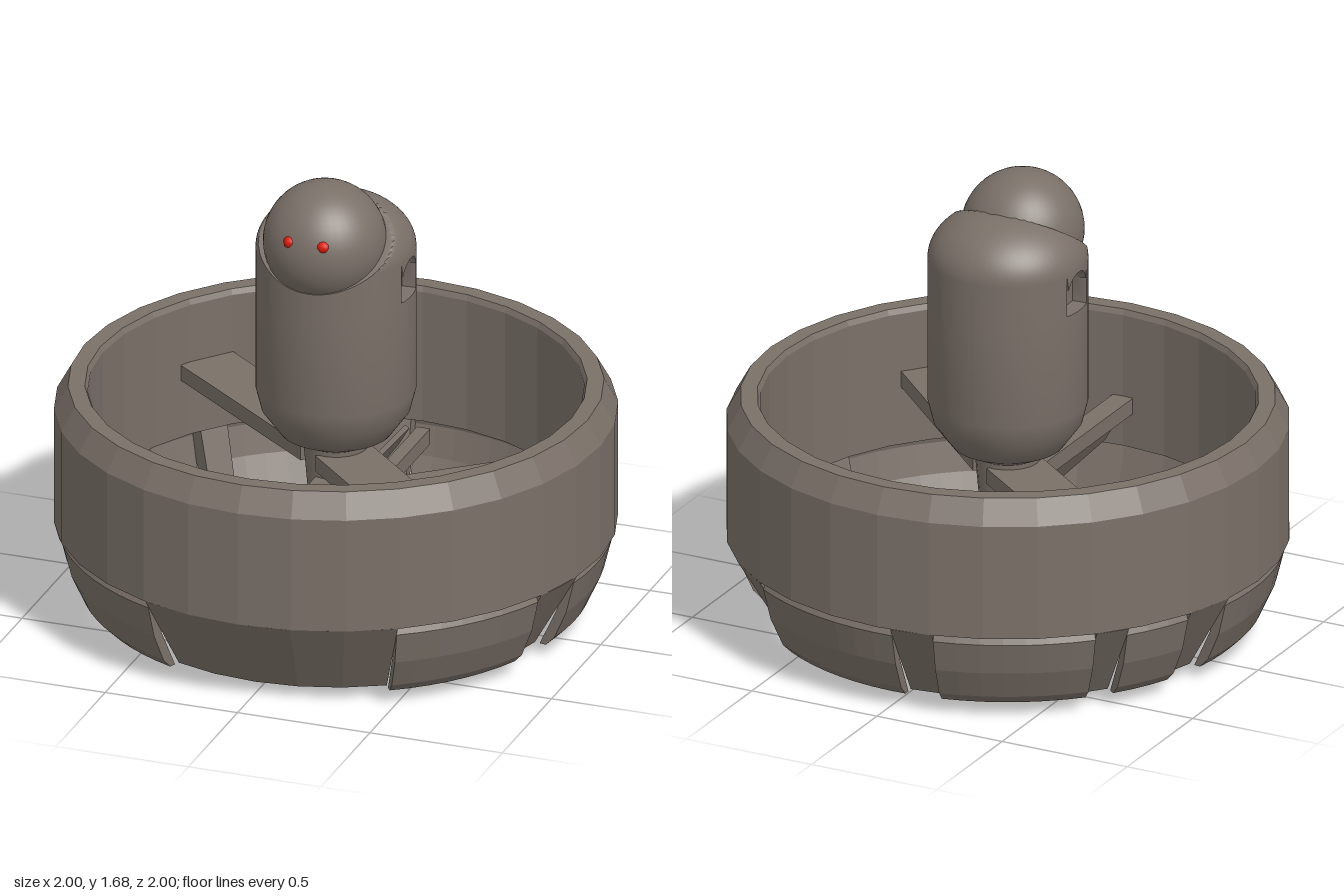
import * as THREE from 'three';
import { toCreasedNormals } from 'three/addons/utils/BufferGeometryUtils.js';

const rad = THREE.MathUtils.degToRad;
const metal = new THREE.MeshStandardMaterial({ color: 0x7a7068, side: THREE.DoubleSide });
const facets = new THREE.MeshStandardMaterial({ color: 0x7a7068, side: THREE.DoubleSide, flatShading: true });
const red = new THREE.MeshStandardMaterial({ color: 0xe01808 });
const points = (list) => list.map(([r, y]) => new THREE.Vector2(r, y));

export function createModel() {
  const model = new THREE.Group();
  const add = (name, geometry, material = metal, parent = model) => {
    const mesh = new THREE.Mesh(geometry, material);
    mesh.name = name;
    parent.add(mesh);
    return mesh;
  };

  // Solid arc swept from a closed profile, angles in degrees from +z towards +x
  const addArc = (name, profile, from, to, segments) => {
    const group = new THREE.Group();
    group.name = name;
    const loop = points([...profile, profile[0]]);
    add('arcBody', new THREE.LatheGeometry(loop, segments, rad(from), rad(to - from)), facets, group);
    for (const a of [from, to]) {
      const cap = new THREE.ShapeGeometry(new THREE.Shape(points(profile)));
      add('arcEnd', cap.rotateY(rad(a) - Math.PI / 2), facets, group);
    }
    model.add(group);
  };

  // Ring duct with bevelled upper rim
  add('ductRing', new THREE.LatheGeometry(points([
    [0.88, 0.35], [1, 0.35], [1, 0.78], [0.95, 0.87], [0.89, 0.87], [0.88, 0.85], [0.88, 0.35],
  ]), 32), facets);

  // Curved flaps around the lower edge, with tapered skirt between them
  const flaps = [[33, 67], [79, 113], [146, 183], [192, 226], [233, 248], [259, 293], [302, 338]];
  const flapProfile = [[0.845, 0.055], [0.87, 0.055], [0.905, 0.09], [0.955, 0.2], [0.985, 0.32],
    [0.97, 0.35], [0.93, 0.35], [0.94, 0.31], [0.915, 0.2]];
  const skirtProfile = [[0.8, 0.055], [0.825, 0.055], [1, 0.35], [0.89, 0.35]];
  flaps.forEach(([from, to], i) => {
    addArc('flap', flapProfile, from, to, Math.ceil((to - from) / 5));
    const next = i + 1 < flaps.length ? flaps[i + 1][0] : flaps[0][0] + 360;
    addArc('skirt', skirtProfile, to, next, Math.ceil((next - to) / 11.25));
  });

  // Body: domed cylinder, cut by a sloping neck plane, with an arched niche each side.
  // Rows 6 and 7 bound the niche, 5 and 8 are its outer edge.
  const profile = [[0, 0.64], [0.1, 0.64], [0.2, 0.69], [0.265, 0.78], [0.285, 0.86],
    [0.285, 1.25], [0.285, 1.252], [0.285, 1.396], [0.285, 1.398]];
  for (let i = 0; i <= 20; i++) {
    const a = (i / 20) * Math.PI / 2;
    profile.push([0.285 * Math.cos(a), 1.4 + 0.195 * Math.sin(a)]);
  }
  const body = new THREE.LatheGeometry(points(profile), 192);
  const p = body.attributes.position;
  for (let i = 0; i < p.count; i++) {
    const row = i % profile.length;
    const x = p.getX(i), z = p.getZ(i);
    if (Math.abs(z) < 0.067 && row >= 6 && row <= 8) {
      const arch = 1.329 + Math.sqrt(0.067 ** 2 - z * z);
      if (row > 6) p.setY(i, arch + (row - 7) * 0.002);
      if (row < 8) p.setX(i, Math.sign(x) * 0.225);
    }
    p.setY(i, Math.min(p.getY(i), 1.54 - 0.733 * z));
  }
  add('body', toCreasedNormals(body, 0.6));

  // Head and eyes
  add('head', new THREE.SphereGeometry(0.22, 40, 28)).position.set(0, 1.47, 0.112);
  for (const side of [-1, 1]) {
    add('eye', new THREE.SphereGeometry(0.024, 8, 6), red).position.set(side * 0.063, 1.53, 0.3);
  }

  // Shaft and hub under the body
  add('shaft', toCreasedNormals(new THREE.LatheGeometry(points([
    [0, 0.08], [0.04, 0.08], [0.055, 0.11], [0.1, 0.14], [0.105, 0.19], [0.085, 0.22], [0.1, 0.45], [0.12, 0.68],
  ]), 24), 0.5));

  // Hook at the bottom
  const hook = add('hook', new THREE.TorusGeometry(0.045, 0.015, 8, 6), facets);
  hook.position.set(0, 0.06, -0.02);
  hook.rotation.y = Math.PI / 2;

  // Radial struts, stacked at different heights: angle, width, height
  const struts = [[0, 0.08, 0.51], [46, 0.22, 0.6], [130, 0.22, 0.39],
    [180, 0.05, 0.29], [232, 0.22, 0.6], [304, 0.23, 0.39]];
  for (const [angle, width, y] of struts) {
    const strut = add('strut', new THREE.BoxGeometry(width, 0.06, 0.83).translate(0, 0, 0.475), facets);
    strut.position.y = y;
    strut.rotation.y = rad(angle);
  }

  // Two steeply pitched propeller blades on the shaft
  for (const angle of [0, 180]) {
    const outline = new THREE.Shape(points([
      [0, 0.05], [-0.09, 0.3], [-0.1, 0.42], [-0.05, 0.79], [0.03, 0.79], [0.1, 0.42], [0.09, 0.3], [0, 0.05],
    ]));
    const blade = new THREE.ExtrudeGeometry(outline, { depth: 0.02, bevelEnabled: false });
    blade.translate(0, 0, -0.01).rotateX(Math.PI / 2).rotateZ(rad(-60));
    const mesh = add('propellerBlade', blade, facets);
    mesh.position.set(angle ? -0.05 : 0.02, angle ? 0.32 : 0.43, 0);
    mesh.rotation.y = rad(angle);
  }

  return model;
}
